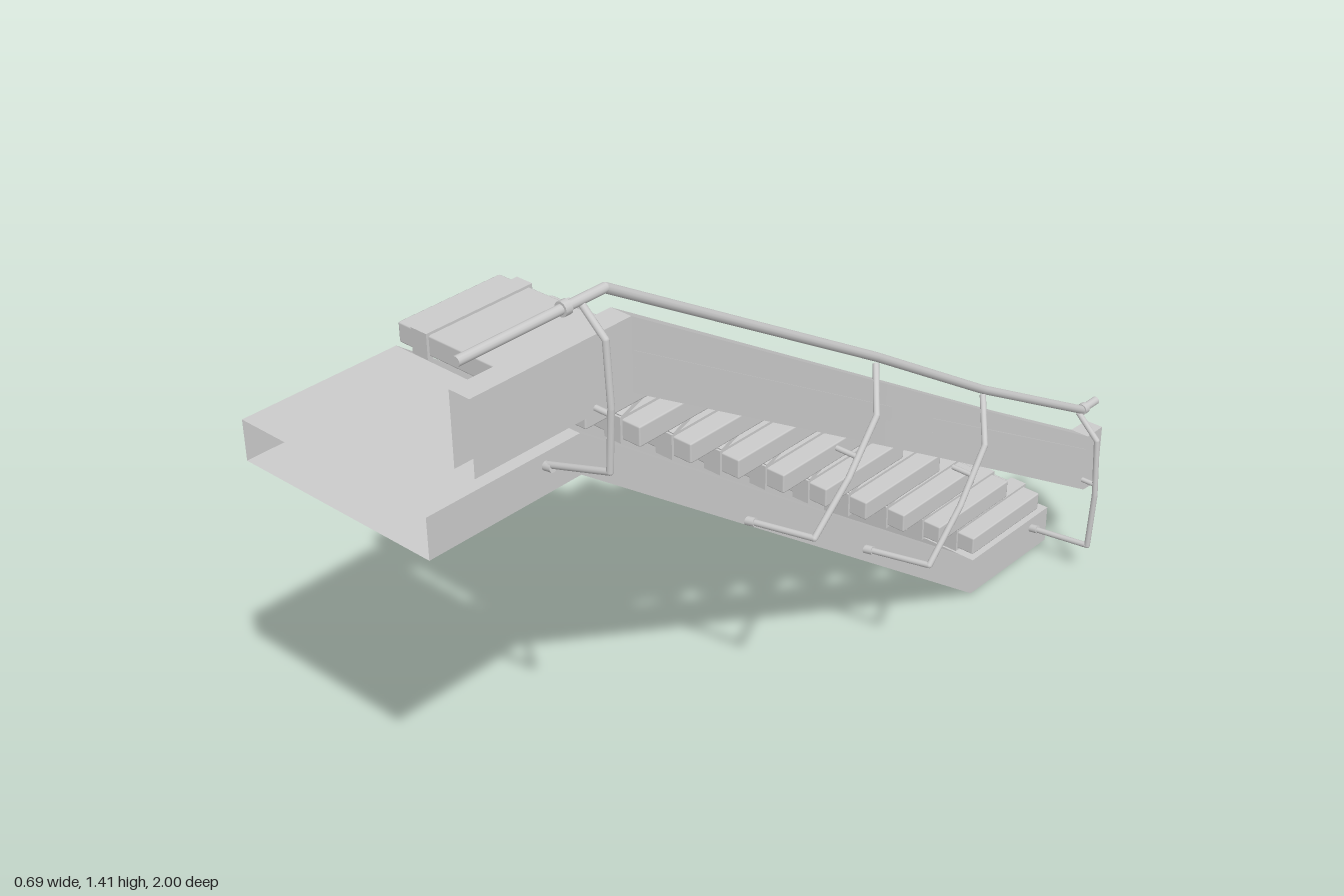
import * as THREE from 'three';
import { RoundedBoxGeometry } from 'three/addons/geometries/RoundedBoxGeometry.js';

const grey = new THREE.MeshStandardMaterial({ color: 0xcccccc });
const sheet = new THREE.MeshStandardMaterial({ color: 0xcccccc, side: THREE.DoubleSide, flatShading: true });

function add(parent, name, geometry, material = grey) {
  const mesh = new THREE.Mesh(geometry, material);
  mesh.name = name;
  parent.add(mesh);
  return mesh;
}

// Open-ended rectangular tube through sections [z, bottom, top, x0, x1], from +z to -z
function channel(sections) {
  const pos = [];
  const loops = sections.map(([z, b, t, x0, x1]) => [[x0, b, z], [x0, t, z], [x1, t, z], [x1, b, z]]);
  for (let i = 0; i < loops.length - 1; i++) {
    for (let k = 0; k < 4; k++) {
      const n = (k + 1) % 4;
      const a = loops[i][k], b = loops[i][n], c = loops[i + 1][n], d = loops[i + 1][k];
      pos.push(...a, ...b, ...c, ...a, ...c, ...d);
    }
  }
  const g = new THREE.BufferGeometry();
  g.setAttribute('position', new THREE.Float32BufferAttribute(pos, 3));
  g.computeVertexNormals();
  return g;
}

// Round bar through points, with ball joints at the bends
function rod(parent, name, points, radius) {
  const group = new THREE.Group();
  group.name = name;
  const pts = points.map((p) => new THREE.Vector3(...p));
  for (let i = 0; i < pts.length - 1; i++) {
    const dir = pts[i + 1].clone().sub(pts[i]);
    const bar = add(group, name + 'Bar', new THREE.CylinderGeometry(radius, radius, dir.length(), 12));
    bar.position.copy(pts[i]).addScaledVector(dir, 0.5);
    bar.quaternion.setFromUnitVectors(new THREE.Vector3(0, 1, 0), dir.normalize());
    if (i > 0) add(group, name + 'Joint', new THREE.SphereGeometry(radius, 12, 8)).position.copy(pts[i]);
  }
  parent.add(group);
  return group;
}

export function createModel() {
  const model = new THREE.Group();
  const L = -0.342, R = 0.165, W = 0.042;
  const zTop = 0.62, zLow = -0.685;

  // Landings: hollow decks, open at the outer end
  const landings = [
    ['upperLanding', 1, zTop, 0.955, 1.045, zTop],
    ['lowerLanding', zLow, -1, 0, 0.097, zLow],
  ];
  for (const [name, z0, z1, b, t, wallZ] of landings) {
    add(model, name, channel([[z0, b, t, L, R], [z1, b, t, L, R]]), sheet);
    const wall = add(model, name + 'Wall', new THREE.PlaneGeometry(R - L - 2 * W, t - b), sheet);
    wall.position.set((L + R) / 2, (b + t) / 2, wallZ);
  }

  // Sloping stringers
  for (const x of [L, R - W]) {
    add(model, 'stringer', channel([[zTop, 0.955, 1.045, x, x + W], [zLow, 0, 0.097, x, x + W]]), sheet);
  }

  // Treads with wrap-around straps and slanted links to the next tread
  const count = 10, rise = 0.1033, run = 0.143, depth = 0.275;
  for (let i = 0; i < count; i++) {
    const step = new THREE.Group();
    step.name = 'step';
    step.position.set(-0.0925, 0.137 + i * rise, -0.82 + i * run);
    add(step, 'tread', new RoundedBoxGeometry(0.515, 0.046, depth, 1, 0.004));
    for (const x of [-0.19, 0.19]) {
      add(step, 'strap', new THREE.BoxGeometry(0.044, 0.058, depth + 0.012)).position.x = x;
      if (i < count - 1) {
        const y0 = 0.027, y1 = rise - 0.027;
        const z0 = depth / 2, z1 = run - depth / 2;
        const link = add(step, 'link', new THREE.BoxGeometry(0.044, 0.01, Math.hypot(y1 - y0, z1 - z0)));
        link.position.set(x, (y0 + y1) / 2, (z0 + z1) / 2);
        link.rotation.x = Math.atan2(y1 - y0, z0 - z1);
      }
    }
    model.add(step);
  }

  // Hollow side panel, slightly bowed along the flight
  add(model, 'sidePanel', channel([
    [1, 1.18, 1.335, 0.25, 0.3],
    [0.615, 1.18, 1.335, 0.25, 0.3],
    [-0.15, 0.715, 0.865, 0.248, 0.288],
    [-0.6, 0.442, 0.588, 0.25, 0.29],
    [-0.94, 0.235, 0.385, 0.252, 0.3],
    [-1, 0.23, 0.385, 0.254, 0.3],
  ]), sheet);

  // Narrow trim strips on the outer face of the panel
  const strips = [
    [0.61, 1.23, 1.265, 0.301, -0.165, 0.77, 0.805, 0.289],
    [-0.315, 0.675, 0.71, 0.29, -0.93, 0.32, 0.355, 0.302],
  ];
  for (const [z0, b0, t0, x0, z1, b1, t1, x1] of strips) {
    add(model, 'trimStrip', channel([[z0, b0, t0, x0 - 0.008, x0 + 0.003], [z1, b1, t1, x1 - 0.008, x1 + 0.003]]), sheet);
  }

  // Handrail with a collar and end knob
  rod(model, 'handrail', [
    [0.272, 1.395, 1], [0.272, 1.395, 0.65], [0.265, 0.925, -0.14],
    [0.268, 0.68, -0.53], [0.275, 0.45, -0.94], [0.275, 0.45, -1],
  ], 0.01);
  rod(model, 'handrailCollar', [[0.272, 1.395, 0.758], [0.272, 1.395, 0.742]], 0.015);
  rod(model, 'handrailCollar', [[0.275, 0.45, -0.94], [0.275, 0.45, -0.955]], 0.014);

  // Bent brackets: foot and head as [y, z], with the bend fractions along them
  const brackets = [
    { foot: [1.015, 0.71], head: [1.39, 0.71], low: 0.15, high: 0.86, pin: 0.47 },
    { foot: [0.62, 0.15], head: [0.915, -0.13], low: 0.07, high: 0.76, pin: 0.53 },
    { foot: [0.345, -0.255], head: [0.67, -0.525], low: 0.07, high: 0.76, pin: 0.59 },
    { foot: [0.067, -0.932], head: [0.445, -0.932], low: 0.06, high: 0.85, pin: 0.53 },
  ];
  for (const { foot, head, low, high, pin } of brackets) {
    const at = (x, t) => [x, foot[0] + (head[0] - foot[0]) * t, foot[1] + (head[1] - foot[1]) * t];
    rod(model, 'railBracket', [at(0.15, 0), at(0.33, low), at(0.338, (low + high) / 2), at(0.33, high), at(0.272, 1)], 0.007);
    rod(model, 'bracketFoot', [at(0.163, 0.005), at(0.185, 0.015)], 0.01);
    rod(model, 'bracketPin', [at(0.28, pin), at(0.336, pin)], 0.006);
  }
  return model;
}
